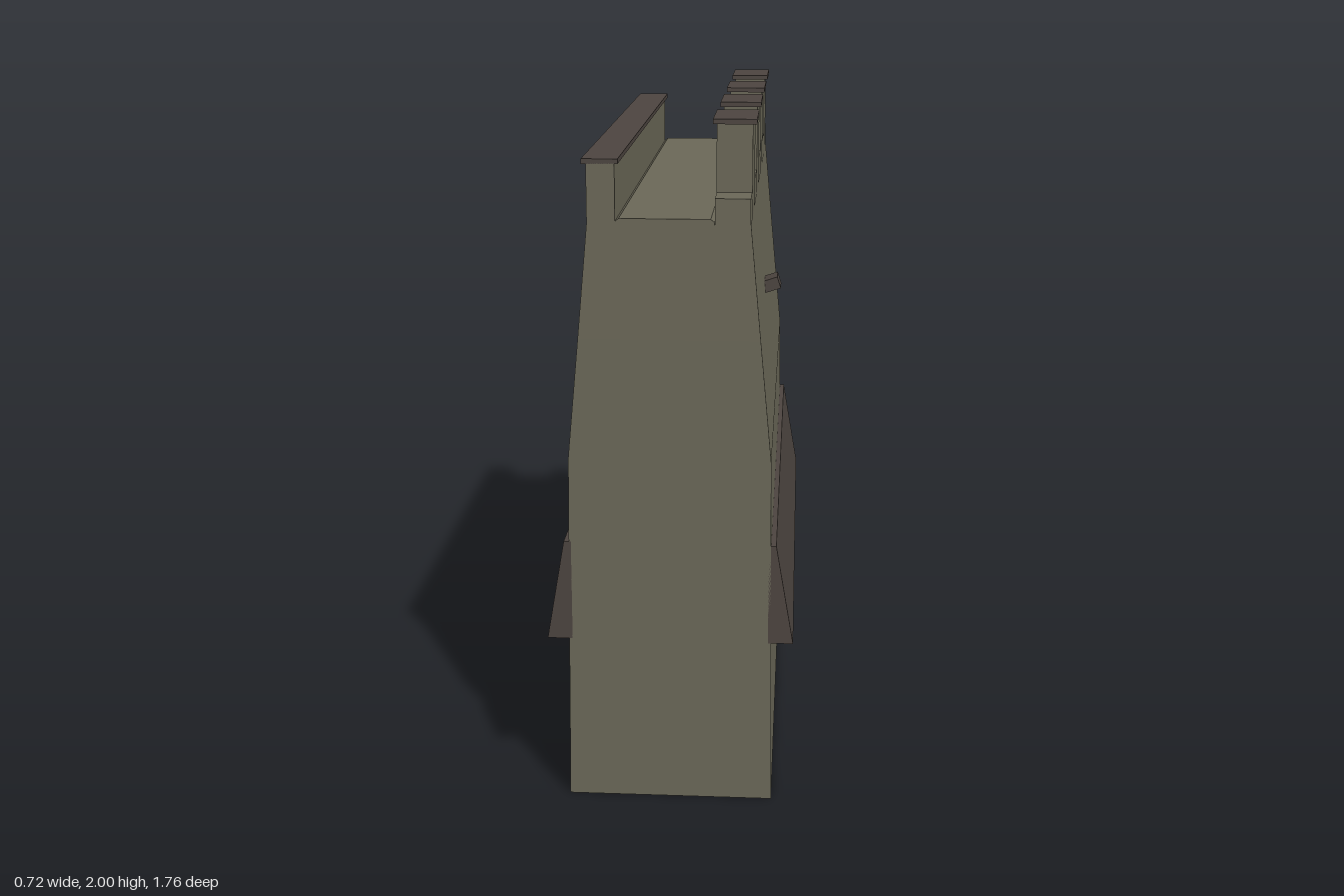
import * as THREE from 'three';

const LENGTH = 1.76;

export function createModel() {
  const stone = new THREE.MeshStandardMaterial({ color: 0x6a6757 });
  stone.name = 'stone';
  const darkStone = new THREE.MeshStandardMaterial({ color: 0x4c443f });
  darkStone.name = 'darkStone';

  const model = new THREE.Group();
  model.name = 'castleWall';

  function add(name, geometry, material, x = 0, y = 0, z = 0) {
    const mesh = new THREE.Mesh(geometry, material);
    mesh.name = name;
    mesh.position.set(x, y, z);
    model.add(mesh);
    return mesh;
  }

  // Box given by its x and y limits, centred on z
  function block(name, material, x0, x1, y0, y1, depth = LENGTH, z = 0) {
    return add(name, new THREE.BoxGeometry(x1 - x0, y1 - y0, depth),
      material, (x0 + x1) / 2, (y0 + y1) / 2, z);
  }

  // Cross-section in x and y run along the whole wall
  function run(name, material, points) {
    const shape = new THREE.Shape(points.map(([x, y]) => new THREE.Vector2(x, y)));
    const geometry = new THREE.ExtrudeGeometry(shape, { depth: LENGTH, bevelEnabled: false });
    geometry.translate(0, 0, -LENGTH / 2);
    return add(name, geometry, material);
  }

  // Wall body: three courses that lean in towards the top
  const courses = [[0.3, 0], [0.288, 1.05], [0.255, 1.4], [0.225, 1.725]];
  const names = ['lowerCourse', 'middleCourse', 'upperCourse'];
  for (let i = 0; i < 3; i++) {
    const [w0, y0] = courses[i];
    const [w1, y1] = courses[i + 1];
    run(names[i], stone, [[-w0, y0], [w0, y0], [w1, y1], [-w1, y1]]);
  }

  // Sloping skirt on both faces
  for (const s of [-1, 1]) {
    run(s > 0 ? 'leftSkirt' : 'rightSkirt', darkStone,
      [[s * 0.285, 0.5], [s * 0.358, 0.5], [s * 0.306, 0.8], [s * 0.285, 0.8]]);
  }

  // Walkway slab
  run('walkway', stone,
    [[-0.147, 1.72], [0.125, 1.72], [0.125, 1.732], [0.115, 1.74], [-0.137, 1.74], [-0.147, 1.732]]);

  // Plain parapet with coping
  block('rearParapet', stone, -0.225, -0.147, 1.72, 1.89);
  block('rearCoping', darkStone, -0.238, -0.138, 1.888, 1.902);

  // Battlement: low wall with four capped merlons
  block('battlementWall', stone, 0.126, 0.224, 1.72, 1.797);
  for (let i = 0; i < 4; i++) {
    const z = (i - 1.5) * 0.4415;
    block('merlon', stone, 0.125, 0.225, 1.722, 1.988, 0.216, z);
    block('merlonCap', darkStone, 0.115, 0.236, 1.986, 2, 0.24, z);
  }

  // Small tilted spout
  const spout = add('spout', new THREE.BoxGeometry(0.08, 0.037, 0.082), darkStone, 0.258, 1.43, 0.241);
  spout.rotation.z = 0.32;

  return model;
}
